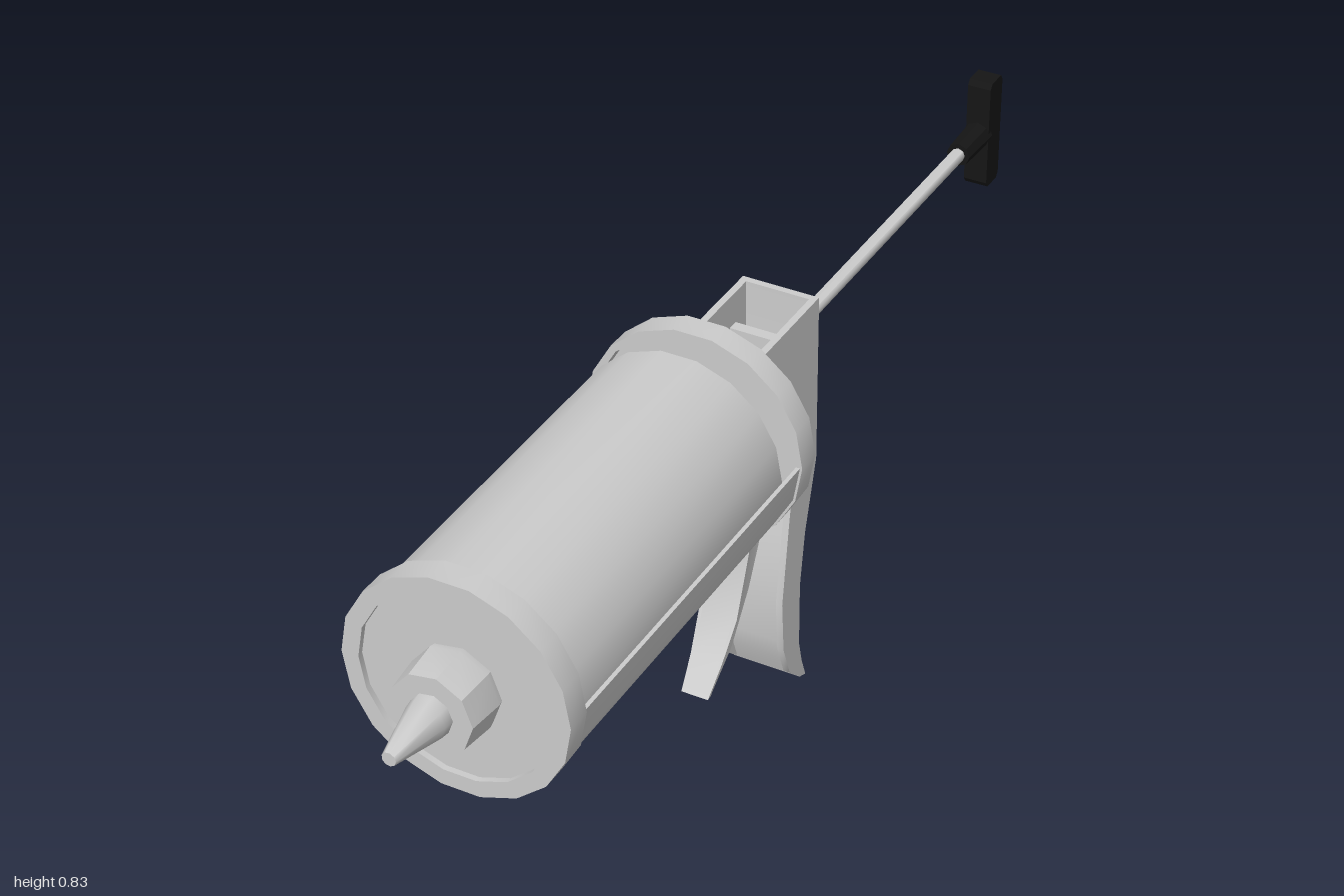
import * as THREE from 'three';
import { toCreasedNormals } from 'three/addons/utils/BufferGeometryUtils.js';

const AXIS = 0.645; // height of the barrel axis
const SIDES = 18;

export function createModel() {
  const model = new THREE.Group();
  const grey = new THREE.MeshStandardMaterial({ color: 0xcccccc, side: THREE.DoubleSide });
  const black = new THREE.MeshStandardMaterial({ color: 0x151515 });

  function add(name, geometry, material = grey, crease = Math.PI / 6) {
    const mesh = new THREE.Mesh(toCreasedNormals(geometry, crease), material);
    mesh.name = name;
    model.add(mesh);
    return mesh;
  }

  // Revolve [radius, z] points about the barrel axis
  function turned(points, sides = SIDES) {
    const g = new THREE.LatheGeometry(points.map(p => new THREE.Vector2(...p)), sides, Math.PI / 2);
    return g.rotateX(Math.PI / 2).translate(0, AXIS, 0);
  }

  // Extrude a [z, y] outline sideways, centred on x
  function sidePlate(points, width, x = 0) {
    const shape = new THREE.Shape(points.map(p => new THREE.Vector2(...p)));
    const g = new THREE.ExtrudeGeometry(shape, { depth: width, bevelEnabled: false });
    return g.rotateY(-Math.PI / 2).translate(x + width / 2, 0, 0);
  }

  // Strip that follows an edge with a given thickness along z
  const strip = (edge, t) => [...edge, ...edge.map(([z, y]) => [z + t, y]).reverse()];

  // Cartridge, open at the rear with a recessed plunger
  add('cartridge', turned([[0.168, 0.155], [0.18, 0.155], [0.18, 0.815], [0, 0.815]]));
  add('cartridgeInside', turned([[0, 0.2], [0.168, 0.2], [0.168, 0.155]]));
  add('nozzleCollar', turned([[0, 0.81], [0.072, 0.81], [0.075, 0.825], [0.069, 0.888], [0, 0.888]], 9));
  add('nozzle', turned([[0, 0.88], [0.037, 0.88], [0.034, 0.905], [0.012, 1], [0, 1]], 9), grey, 0.75);

  // Cradle: end ring, rear cup and half tube
  add('frontRing', turned([[0.163, 0.78], [0.192, 0.78], [0.192, 0.825], [0.163, 0.825], [0.163, 0.78]]));
  add('rearCup', turned([[0, 0.065], [0.192, 0.065], [0.192, 0.11], [0.18, 0.11], [0.18, 0.08], [0, 0.08]]));
  const arc = r => Array.from({ length: 10 }, (_, i) => {
    const a = Math.PI + i * Math.PI / 9;
    return new THREE.Vector2(r * Math.cos(a), r * Math.sin(a));
  });
  const halfTube = new THREE.Shape([...arc(0.188), ...arc(0.181).reverse()]);
  add('cradle', new THREE.ExtrudeGeometry(halfTube, { depth: 0.72, bevelEnabled: false })
    .translate(0, AXIS, 0.08));

  // Channel body and fixed grip
  const backEdge = [[-0.187, 0.755], [-0.187, 0.44], [-0.15, 0.31], [-0.134, 0.21],
    [-0.134, 0.085], [-0.145, 0.04], [-0.16, 0]];
  const frontEdge = [[-0.14, 0.008], [-0.1, 0.045], [-0.076, 0.11], [-0.069, 0.21], [-0.09, 0.36],
    [-0.11, 0.485], [-0.05, 0.52], [0, 0.55], [0.065, 0.55], [0.065, 0.755]];
  add('gripBack', sidePlate(strip(backEdge, 0.012), 0.13));
  for (const s of [1, -1]) {
    const side = s > 0 ? 'left' : 'right';
    add(side + 'BodyPlate', sidePlate([...backEdge, ...frontEdge], 0.012, s * 0.063));

    // Mounting ear with cut corners
    const ear = new THREE.Shape([[0.06, 0.55], [0.11, 0.55], [0.155, 0.6], [0.155, 0.705],
      [0.11, 0.755], [0.06, 0.755]].map(([x, y]) => new THREE.Vector2(s * x, y)));
    add(side + 'MountingEar', new THREE.ExtrudeGeometry(ear, { depth: 0.012, bevelEnabled: false })
      .translate(0, 0, 0.053));
  }

  // Trigger: a channel that narrows toward its tip
  const taper = g => {
    const p = g.attributes.position;
    for (let i = 0; i < p.count; i++) {
      const t = THREE.MathUtils.clamp((0.48 - p.getY(i)) / 0.36, 0, 1);
      p.setX(i, p.getX(i) * (1 - 0.5 * Math.pow(t, 1.4)));
    }
    return g;
  };
  const triggerFront = [[-0.008, 0.58], [0, 0.485], [0.005, 0.36], [0.03, 0.235], [0.07, 0.17], [0.112, 0.12]];
  const triggerBack = [[0.1, 0.126], [0.04, 0.185], [-0.005, 0.28], [-0.03, 0.36], [-0.043, 0.46],
    [-0.058, 0.477], [-0.09, 0.485], [-0.1, 0.53], [-0.06, 0.6], [-0.02, 0.61]];
  add('triggerFace', taper(sidePlate(strip(triggerFront, -0.01), 0.098)));
  for (const s of [1, -1]) {
    add(s > 0 ? 'triggerLeftFlange' : 'triggerRightFlange',
      taper(sidePlate([...triggerFront, ...triggerBack], 0.008, s * 0.046)));
  }
  add('triggerPivot', new THREE.CylinderGeometry(0.012, 0.012, 0.13, 8)
    .rotateZ(Math.PI / 2).translate(0, 0.575, -0.045));
  add('rodCatch', new THREE.BoxGeometry(0.11, 0.11, 0.02).translate(0, 0.645, -0.125));

  // Push rod and pull handle
  add('pushRod', turned([[0, -0.9], [0.013, -0.9], [0.013, 0.13], [0, 0.13]], 8), grey, 0.9);
  add('handleHub', turned([[0, -0.96], [0.025, -0.96], [0.022, -0.87], [0, -0.87]], 8), black);
  add('handleBar', sidePlate([[-1, 0.55], [-0.993, 0.54], [-0.957, 0.54], [-0.95, 0.55],
    [-0.95, 0.74], [-0.957, 0.75], [-0.993, 0.75], [-1, 0.74]], 0.044), black);

  return model;
}
